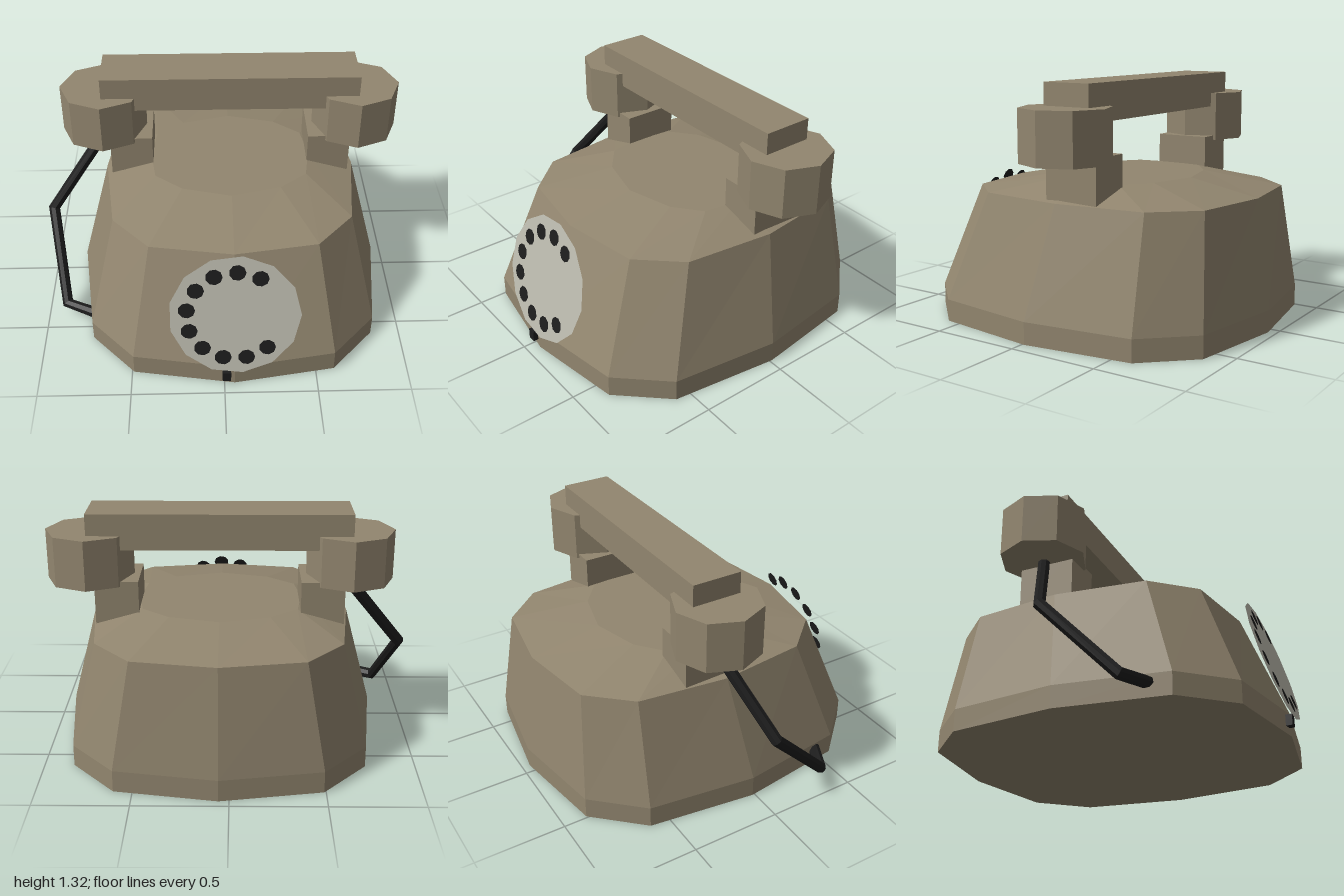
import * as THREE from 'three';

const mat = (name, color, flatShading = true) => {
  const m = new THREE.MeshStandardMaterial({ color, flatShading });
  m.name = name;
  return m;
};

// Twelve-sided ring from four points of one quarter, mirrored in x and z
function ring(y, cz, [side, corner, shoulder, end]) {
  const q = [[0, end], shoulder, corner, [side, 0]];
  const half = [...q, ...q.slice(0, 3).reverse().map(([x, z]) => [x, -z])];
  const all = [...half, ...half.slice(1, 6).reverse().map(([x, z]) => [-x, z])];
  return all.map(([x, z]) => [x + 0.055, y, z + cz]);
}

// Flat-sided loft through the rings, closed at both ends
function loft(rings) {
  const pos = [];
  const n = rings[0].length;
  const fan = (r, up) => {
    for (let i = 1; i < n - 1; i++) pos.push(...r[0], ...r[up ? i : i + 1], ...r[up ? i + 1 : i]);
  };
  for (let k = 0; k < rings.length - 1; k++) {
    for (let i = 0; i < n; i++) {
      const j = (i + 1) % n;
      const a = rings[k][i], b = rings[k][j], c = rings[k + 1][j], d = rings[k + 1][i];
      pos.push(...a, ...b, ...c, ...a, ...c, ...d);
    }
  }
  fan(rings[0], false);
  fan(rings[rings.length - 1], true);
  const g = new THREE.BufferGeometry();
  g.setAttribute('position', new THREE.Float32BufferAttribute(pos, 3));
  g.computeVertexNormals();
  return g;
}

// Angular tube whose rings sit on the bisecting plane of each bend
function bentTube(pts, radius, sides) {
  const last = pts.length - 1;
  const dir = i => pts[i + 1].clone().sub(pts[i]).normalize();
  const path = new THREE.CatmullRomCurve3(pts);
  path.getPointAt = t => pts[Math.round(t * last)].clone();
  path.getTangentAt = t => {
    const i = Math.round(t * last);
    return dir(Math.max(i - 1, 0)).add(dir(Math.min(i, last - 1))).normalize();
  };
  return new THREE.TubeGeometry(path, last, radius, sides, false);
}

export function createModel() {
  const group = new THREE.Group();
  const shell = mat('beige shell', 0x92866f);
  const plate = mat('pale dial', 0xbab9ad);
  const black = mat('black', 0x1c1c1c);
  const cordBlack = black;
  cordBlack.side = THREE.DoubleSide;

  const add = (name, geo, material, x = 0, y = 0, z = 0, parent = group) => {
    const m = new THREE.Mesh(geo, material);
    m.name = name;
    m.position.set(x, y, z);
    parent.add(m);
    return m;
  };

  // Body: straight plinth, sloping walls, shallow domed top
  const base = [0.865, [0.785, 0.597], [0.545, 0.855], 0.943];
  add('body', loft([
    ring(0, -0.013, base),
    ring(0.12, -0.013, base),
    ring(0.71, -0.095, [0.705, [0.645, 0.495], [0.445, 0.715], 0.785]),
    ring(0.785, -0.09, [0.45, [0.42, 0.2], [0.27, 0.32], 0.39]),
  ]), shell);

  // Cradle posts and handset cups on both sides
  for (const s of [-1, 1]) {
    const side = s > 0 ? 'left' : 'right';
    add(side + 'Cradle', new THREE.BoxGeometry(0.235, 0.24, 0.31), shell, 0.055 + s * 0.5525, 0.83, -0.17);
    add(side + 'Cup', new THREE.CylinderGeometry(0.237, 0.237, 0.275, 8), shell, 0.055 + s * 0.705, 1.0625, -0.17);
  }
  add('handsetGrip', new THREE.BoxGeometry(1.41, 0.195, 0.275), shell, 0.055, 1.2205, -0.172);

  // Tilted dial plate with ten finger holes
  const dial = new THREE.Group();
  dial.name = 'dial';
  dial.position.set(0.055, 0.437, 0.86);
  dial.rotation.x = -0.261;
  group.add(dial);
  add('dialPlate', new THREE.CircleGeometry(0.347, 13), plate, 0, 0, 0, dial);
  const hole = new THREE.CircleGeometry(0.045, 9);
  for (let i = 0; i < 10; i++) {
    const a = THREE.MathUtils.degToRad(59 + 28.1 * i);
    add('fingerHole', hole, black, 0.254 * Math.cos(a), 0.254 * Math.sin(a), 0.005, dial);
  }
  add('fingerStop', new THREE.BoxGeometry(0.045, 0.06, 0.045), black, 0.012, 0.07, 0.932);

  // Cord from the right cup down into the plinth
  add('cord', bentTube([
    new THREE.Vector3(-0.645, 0.915, -0.17),
    new THREE.Vector3(-0.97, 0.48, 0),
    new THREE.Vector3(-0.89, 0.08, 0.385),
    new THREE.Vector3(-0.71, 0.08, 0.475),
  ], 0.033, 8), cordBlack);

  return group;
}
